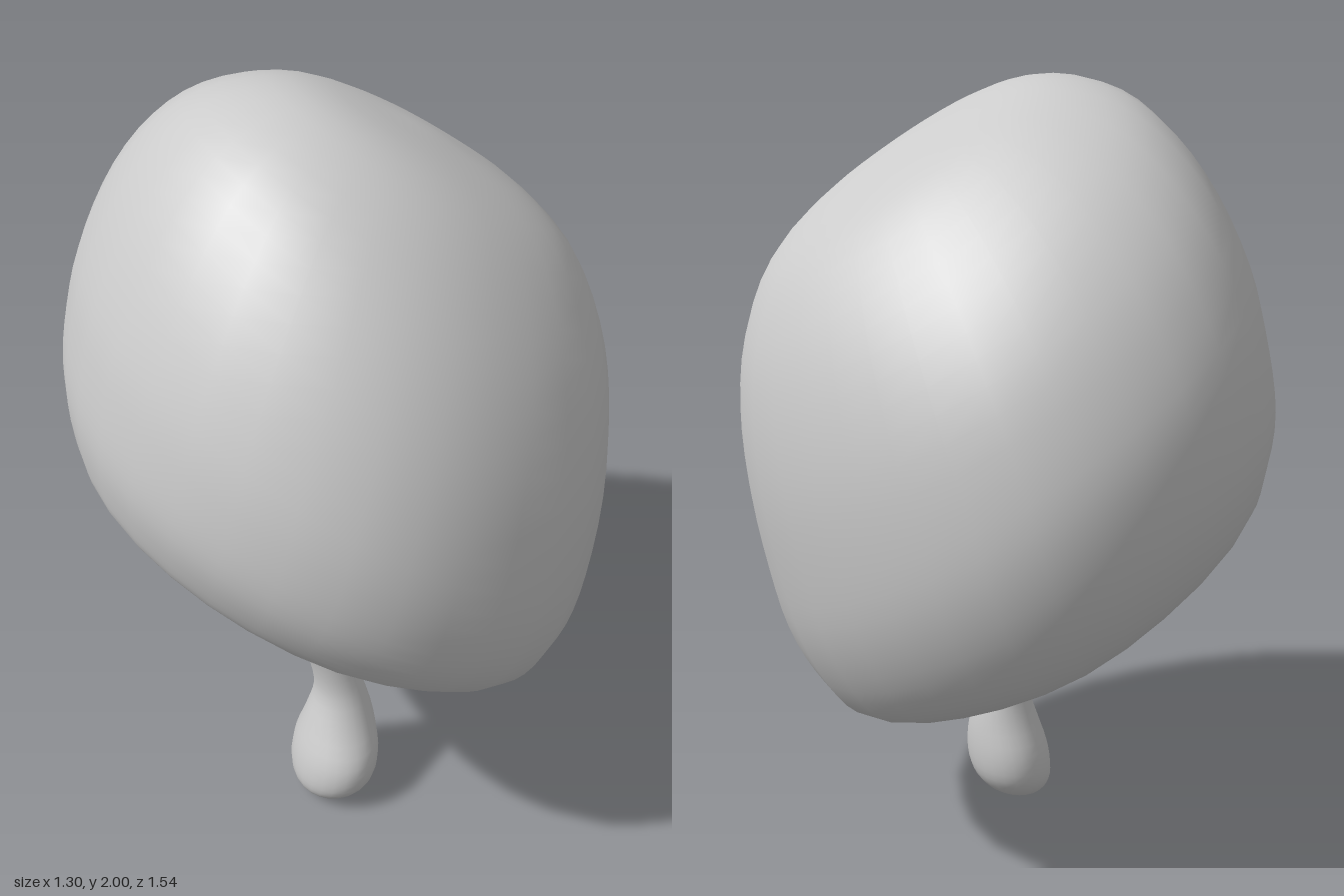
import * as THREE from 'three';
import { mergeVertices } from 'three/addons/utils/BufferGeometryUtils.js';

// Smoothly resample rows of numbers (Catmull-Rom), `steps` per span
function resample(rows, steps) {
  const out = [];
  const at = (i) => rows[Math.min(Math.max(i, 0), rows.length - 1)];
  for (let i = 0; i < rows.length - 1; i++) {
    for (let s = 0; s < steps; s++) {
      const t = s / steps;
      out.push(rows[i].map((p1, k) => {
        const p0 = at(i - 1)[k], p2 = at(i + 1)[k], p3 = at(i + 2)[k];
        return p1 + 0.5 * t * (p2 - p0 + t * (2 * p0 - 5 * p1 + 4 * p2 - p3 + t * (3 * (p1 - p2) + p3 - p0)));
      }));
    }
  }
  out.push(rows[rows.length - 1]);
  return out;
}

// Skin closed rings, ordered bottom to top; pointAt(row, cos, sin) gives [x, y, z]
function loft(rows, sides, pointAt) {
  const positions = [], index = [];
  rows.forEach((row, i) => {
    for (let j = 0; j < sides; j++) {
      const a = (j / sides) * Math.PI * 2;
      positions.push(...pointAt(row, Math.cos(a), Math.sin(a)));
      if (i === rows.length - 1) continue;
      const p = i * sides + j, q = i * sides + ((j + 1) % sides);
      index.push(p, p + sides, q, q, p + sides, q + sides);
    }
  });
  let geometry = new THREE.BufferGeometry();
  geometry.setAttribute('position', new THREE.Float32BufferAttribute(positions, 3));
  geometry.setIndex(index);
  geometry = mergeVertices(geometry, 1e-5);
  geometry.computeVertexNormals();
  return geometry;
}

export function createModel() {
  const group = new THREE.Group();
  const material = new THREE.MeshStandardMaterial({ color: 0xcccccc, roughness: 0.8 });
  const add = (name, geometry) => {
    const mesh = new THREE.Mesh(geometry, material);
    mesh.name = name;
    group.add(mesh);
  };

  // Cap: leaning dome; rows are height along the lean, left edge, right edge, half depth, forward nod
  const capRows = [
    [0.56, -0.51, -0.51, 0, 0.01],
    [0.55, -0.7, -0.32, 0.19, 0.01],
    [0.53, -0.85, -0.16, 0.35, 0.015],
    [0.512, -0.97, -0.05, 0.465, 0.02],
    [0.545, -1.085, 0.06, 0.575, 0.03],
    [0.61, -1.155, 0.122, 0.665, 0.04],
    [0.715, -1.23, 0.138, 0.735, 0.06],
    [0.85, -1.29, 0.124, 0.766, 0.08],
    [1.0, -1.337, 0.077, 0.76, 0.085],
    [1.19, -1.362, 0.0, 0.705, 0.08],
    [1.36, -1.353, -0.095, 0.61, 0.065],
    [1.5, -1.305, -0.208, 0.485, 0.05],
    [1.61, -1.197, -0.358, 0.34, 0.035],
    [1.665, -1.05, -0.55, 0.19, 0.03],
    [1.685, -0.8, -0.8, 0, 0.03],
  ];
  const c = 0.844, s = 0.536; // cosine and sine of the lean
  add('cap', loft(resample(capRows, 3), 32, ([v, left, right, depth, nod], cos, sin) => {
    // Fuller on one diagonal, flatter at the back left
    const diagonal = 2 * sin * cos;
    const amount = diagonal > 0 ? (cos > 0 ? 0.065 : 0.045) : (cos > 0 ? 0.055 : 0.012);
    const bulge = 1 + amount * diagonal * Math.abs(diagonal);
    const z = depth * sin * bulge;
    const u = (left + right) / 2 + ((right - left) / 2) * cos * bulge - 0.035 * z;
    const h = v - nod * z;
    return [c * u + s * h, c * h - s * u, z + 0.05 * (v - 0.86)];
  }));

  // Stem: curved, with a bulb at the foot; rows are x, y, z, half width, half depth
  const stemRows = [
    [-0.12, 0.0, 0.2, 0, 0],
    [-0.118, 0.007, 0.2, 0.045, 0.055],
    [-0.108, 0.035, 0.2, 0.088, 0.105],
    [-0.095, 0.085, 0.201, 0.11, 0.138],
    [-0.083, 0.16, 0.2, 0.11, 0.138],
    [-0.07, 0.25, 0.19, 0.092, 0.1],
    [-0.066, 0.34, 0.18, 0.068, 0.07],
    [-0.085, 0.43, 0.173, 0.058, 0.058],
    [-0.118, 0.52, 0.163, 0.053, 0.053],
    [-0.152, 0.61, 0.143, 0.05, 0.053],
    [-0.16, 0.68, 0.112, 0.051, 0.06],
    [-0.16, 0.74, 0.085, 0.065, 0.075],
    [-0.16, 0.79, 0.07, 0.085, 0.095],
    [-0.16, 0.79, 0.07, 0, 0],
  ];
  add('stem', loft(resample(stemRows, 3), 24, ([x, y, z, w, d], cos, sin) => [x + w * cos, y, z + d * sin]));

  return group;
}
